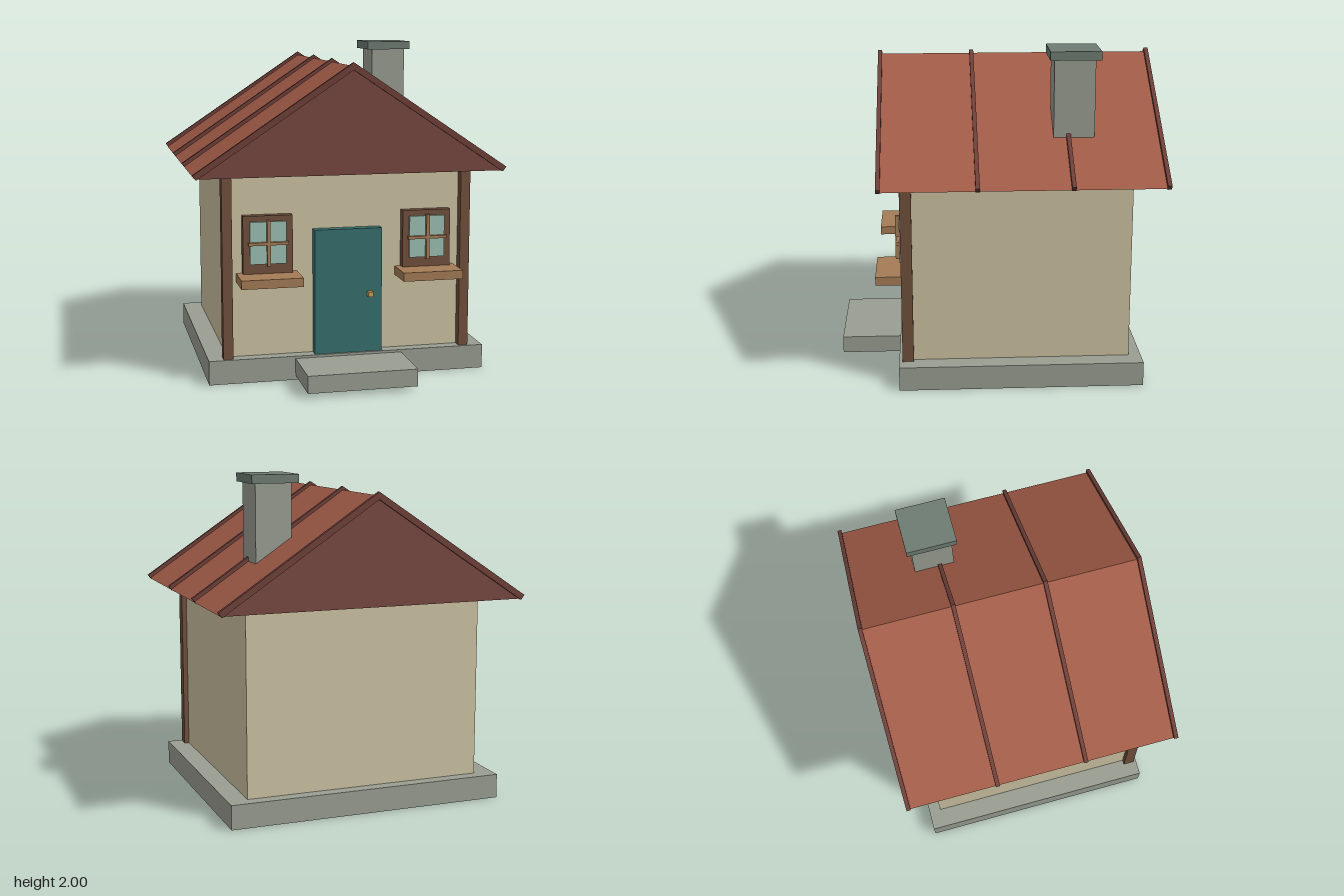
import * as THREE from 'three';

const mat = (color) => new THREE.MeshStandardMaterial({ color, flatShading: true });
const M = {
  stone: mat(0x999d91), cap: mat(0x6e7c72), wall: mat(0xccc2a2), timber: mat(0x70503c),
  wood: mat(0xa57c55), door: mat(0x37716e), glass: mat(0x9dbfb4), brass: mat(0xc9a25a),
  roof: mat(0xa35d49), gable: mat(0x774740), rib: mat(0x6f4039),
};

// Box given by its extents along each axis
function box(name, material, [x0, x1], [y0, y1], [z0, z1]) {
  const mesh = new THREE.Mesh(new THREE.BoxGeometry(x1 - x0, y1 - y0, z1 - z0), material);
  mesh.position.set((x0 + x1) / 2, (y0 + y1) / 2, (z0 + z1) / 2);
  mesh.name = name;
  return mesh;
}

// Front-view outline pulled along z
function prism(name, material, points, z0, z1) {
  const shape = new THREE.Shape(points.map(([x, y]) => new THREE.Vector2(x, y)));
  const geometry = new THREE.ExtrudeGeometry(shape, { depth: z1 - z0, bevelEnabled: false });
  const mesh = new THREE.Mesh(geometry, material);
  mesh.position.z = z0;
  mesh.name = name;
  return mesh;
}

// Window with frame, glass, glazing bars and sill, centred on x
function makeWindow(name, x) {
  const g = new THREE.Group();
  g.name = name;
  g.position.x = x;
  g.add(
    box('windowFrame', M.timber, [-0.15, 0.15], [0.66, 1.01], [0.52, 0.587]),
    box('windowGlass', M.glass, [-0.11, 0.11], [0.72, 0.975], [0.54, 0.6]),
    box('verticalBar', M.wood, [-0.01, 0.01], [0.71, 0.985], [0.598, 0.625]),
    box('horizontalBar', M.wood, [-0.122, 0.122], [0.836, 0.854], [0.598, 0.62]),
    box('windowSill', M.wood, [-0.185, 0.185], [0.605, 0.658], [0.52, 0.745]),
  );
  return g;
}

export function createModel() {
  const house = new THREE.Group();
  house.name = 'house';

  // Base, step and walls
  house.add(
    box('foundation', M.stone, [-0.855, 0.855], [0, 0.147], [-0.86, 0.61]),
    box('frontStep', M.stone, [-0.33, 0.33], [0.027, 0.132], [0.58, 0.975]),
    box('walls', M.wall, [-0.735, 0.735], [0.14, 1.26], [-0.785, 0.535]),
  );

  // Door with knob
  house.add(
    box('door', M.door, [-0.208, 0.208], [0.147, 0.912], [0.52, 0.597]),
    box('doorKnob', M.brass, [0.115, 0.145], [0.495, 0.525], [0.59, 0.635]),
  );

  // Corner posts and windows, mirrored
  for (const [side, s] of [['left', 1], ['right', -1]]) {
    const post = box(side + 'Post', M.timber, [-0.03, 0.03], [0.147, 1.26], [0.522, 0.59]);
    post.position.x = s * 0.735;
    house.add(post, makeWindow(side + 'Window', s * 0.49));
  }

  // Roof core with gables, then a covering on each slope
  house.add(prism('gableRoof', M.gable, [[-0.915, 1.255], [0.915, 1.255], [0, 1.872]], -0.957, 0.708));
  for (const [side, s] of [['left', 1], ['right', -1]]) {
    const outline = [[0.915, 1.255], [0.935, 1.258], [0, 1.89], [0, 1.87]].map(([x, y]) => [s * x, y]);
    house.add(prism(side + 'RoofSlope', M.roof, outline, -0.955, 0.705));
  }

  // Raised ribs across the ridge
  const rib = [[0.925, 1.25], [0.947, 1.278], [0, 1.912], [-0.947, 1.278], [-0.925, 1.25], [0, 1.868]];
  for (const z of [0.707, 0.14, -0.41, -0.958]) {
    house.add(prism('roofRib', M.rib, rib, z - 0.0125, z + 0.0125));
  }

  // Chimney
  house.add(
    box('chimney', M.stone, [0.38, 0.6], [1.475, 1.955], [-0.565, -0.322]),
    box('chimneyCap', M.cap, [0.345, 0.63], [1.948, 2], [-0.595, -0.295]),
  );
  return house;
}
